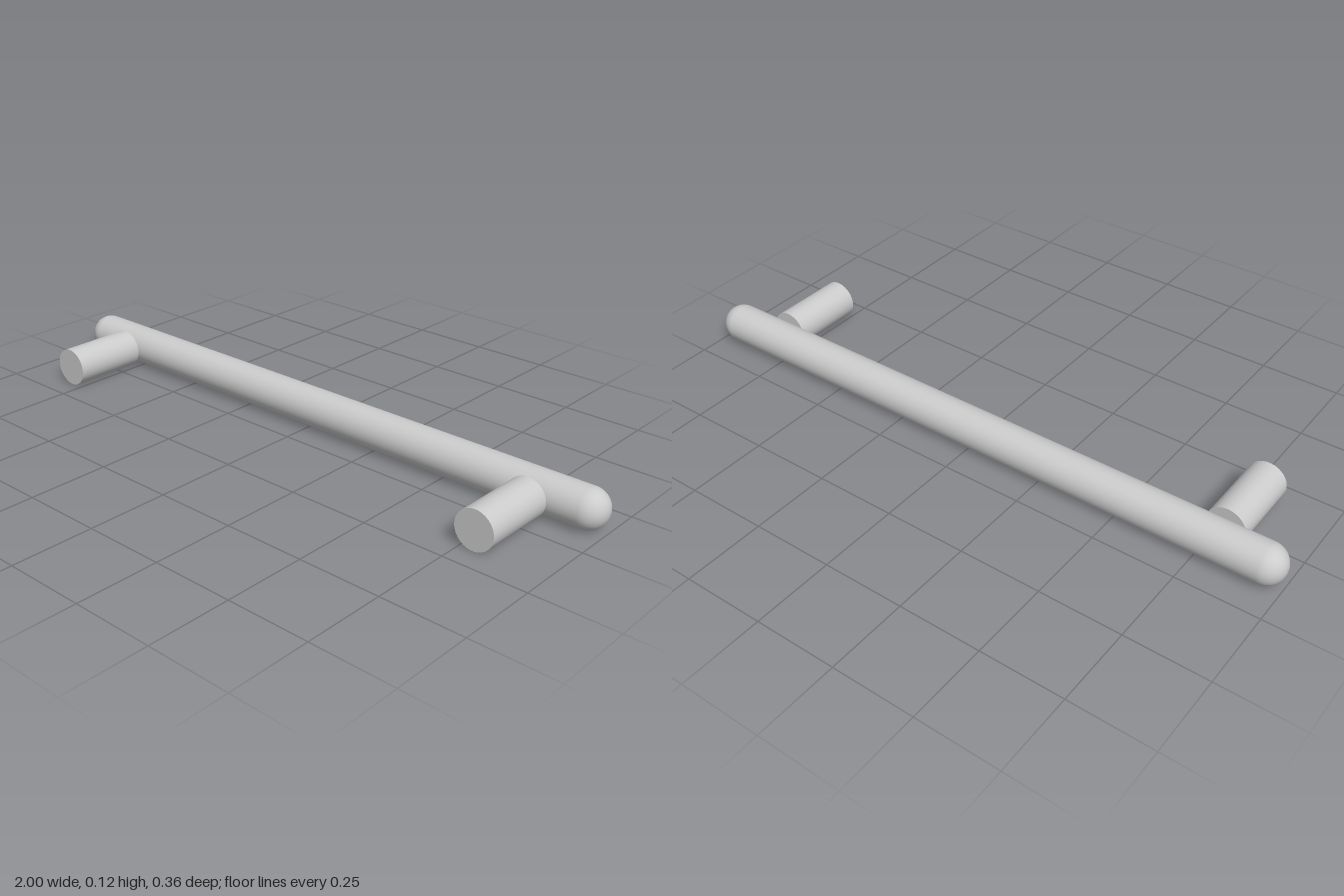
import * as THREE from 'three';

const R = 0.0595;      // radius shared by bar and posts
const BAR_Z = -0.119;  // bar axis
const BAR_END = 0.9405; // where the round caps start
const POST_X = 0.792;
const POST_BACK = -0.0595, POST_FRONT = 0.1785;

export function createModel() {
  const group = new THREE.Group();
  const material = new THREE.MeshStandardMaterial({ color: 0xcccccc });

  const add = (name, geometry, x, z) => {
    const mesh = new THREE.Mesh(geometry, material);
    mesh.name = name;
    mesh.position.set(x, R, z);
    group.add(mesh);
  };

  // Long grip bar along x
  add('gripBar', new THREE.CylinderGeometry(R, R, BAR_END * 2, 48, 1, true).rotateZ(Math.PI / 2), 0, BAR_Z);

  for (const [side, s] of [['left', 1], ['right', -1]]) {
    // Hemispherical bar end
    const cap = new THREE.SphereGeometry(R, 48, 16, 0, Math.PI * 2, 0, Math.PI / 2).rotateZ(-s * Math.PI / 2);
    add(side + 'EndCap', cap, s * BAR_END, BAR_Z);

    // Mounting post, flat at both ends and touching the bar
    const post = new THREE.CylinderGeometry(R, R, POST_FRONT - POST_BACK, 48).rotateX(Math.PI / 2);
    add(side + 'Post', post, s * POST_X, (POST_FRONT + POST_BACK) / 2);
  }
  return group;
}
